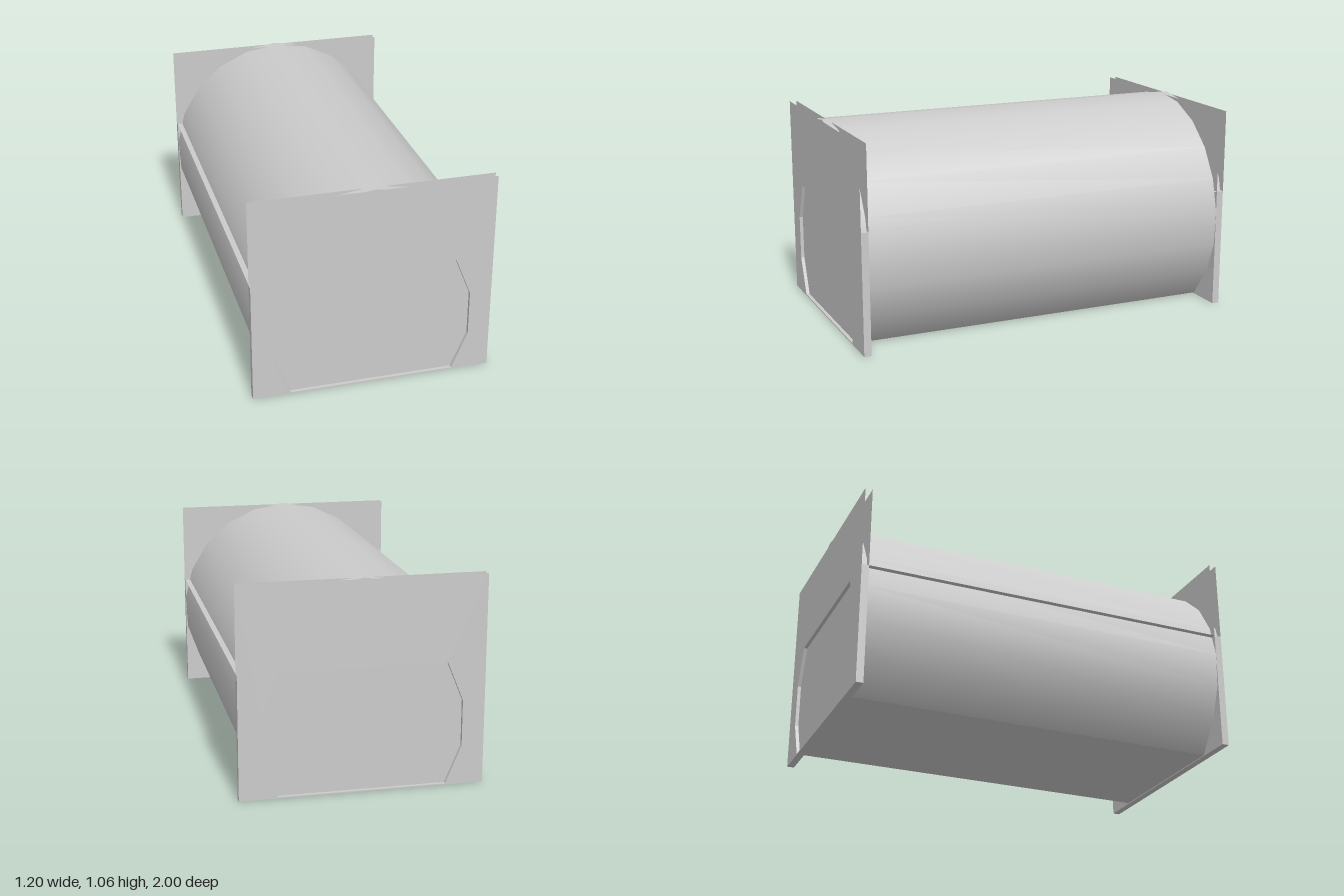
import * as THREE from 'three';

const HALF_W = 0.602, TOP = 1.048, LEDGE_Y = 0.62, INNER_Z = 0.963, PANEL_Z = 0.982;
const mat = new THREE.MeshStandardMaterial({ color: 0xcccccc, side: THREE.DoubleSide });

function add(parent, name, geometry, x = 0, y = 0, z = 0) {
  const mesh = new THREE.Mesh(geometry, mat);
  mesh.name = name;
  mesh.position.set(x, y, z);
  parent.add(mesh);
  return mesh;
}

// flat sheet facing up or down
const level = (w, d, up = true) => new THREE.PlaneGeometry(w, d).rotateX(up ? -Math.PI / 2 : Math.PI / 2);

// eight-cornered doorway outline
const door = [[-0.413, 0.006], [0.413, 0.006], [0.492, 0.195], [0.492, 0.425],
  [0.413, LEDGE_Y], [-0.413, LEDGE_Y], [-0.492, 0.425], [-0.492, 0.195]]
  .map(([x, y]) => new THREE.Vector2(x, y));

function plateShape() {
  return new THREE.Shape([[-HALF_W, 0], [HALF_W, 0], [HALF_W, TOP], [-HALF_W, TOP]]
    .map(([x, y]) => new THREE.Vector2(x, y)));
}

function createEnd() {
  const end = new THREE.Group();

  // outer sheet with a recessed doorway, and the plain inner sheet
  const outer = plateShape();
  outer.holes.push(new THREE.Path(door));
  add(end, 'outerPlate', new THREE.ShapeGeometry(outer), 0, 0, 1);
  add(end, 'innerPlate', new THREE.ShapeGeometry(plateShape()).rotateY(Math.PI), 0, 0, INNER_Z);
  add(end, 'doorPanel', new THREE.ShapeGeometry(new THREE.Shape(door)), 0, 0, PANEL_Z);

  // reveal around the doorway
  door.forEach((a, i) => {
    const b = door[(i + 1) % door.length];
    const wall = add(end, 'doorReveal', level(a.distanceTo(b), 1 - PANEL_Z),
      (a.x + b.x) / 2, (a.y + b.y) / 2, (1 + PANEL_Z) / 2);
    wall.rotation.z = Math.atan2(b.y - a.y, b.x - a.x);
  });

  // strips closing the lower sides and the underside between the sheets
  const depth = 1 - INNER_Z, mid = (1 + INNER_Z) / 2;
  for (const s of [-1, 1]) {
    add(end, 'sideStrip', new THREE.PlaneGeometry(depth, LEDGE_Y).rotateY(s * Math.PI / 2),
      s * HALF_W, LEDGE_Y / 2, mid);
  }
  add(end, 'baseStrip', level(2 * HALF_W, depth, false), 0, 0, mid);
  return end;
}

export function createModel() {
  const model = new THREE.Group();
  model.name = 'barrelBody';

  // sixteen-sided barrel, open along its underside
  const shell = new THREE.CylinderGeometry(0.605, 0.605, 2, 16, 1, true, Math.PI / 4, Math.PI * 1.5);
  shell.rotateX(Math.PI / 2).translate(0, 0.45, 0);
  const p = shell.attributes.position;
  for (let i = 0; i < p.count; i++) {
    if (p.getY(i) < 0.03) p.setXY(i, Math.sign(p.getX(i)) * 0.415, 0.005);
  }
  add(model, 'barrelShell', shell);
  add(model, 'barrelFloor', level(0.83, 2, false), 0, 0.005, 0);

  // thin deck whose edges stand out as a ledge along both sides
  add(model, 'sideLedge', level(2 * HALF_W, 2), 0, LEDGE_Y, 0);

  // matching ends
  const front = createEnd();
  front.name = 'frontEnd';
  const back = createEnd();
  back.name = 'backEnd';
  back.rotation.y = Math.PI;
  model.add(front, back);
  return model;
}
